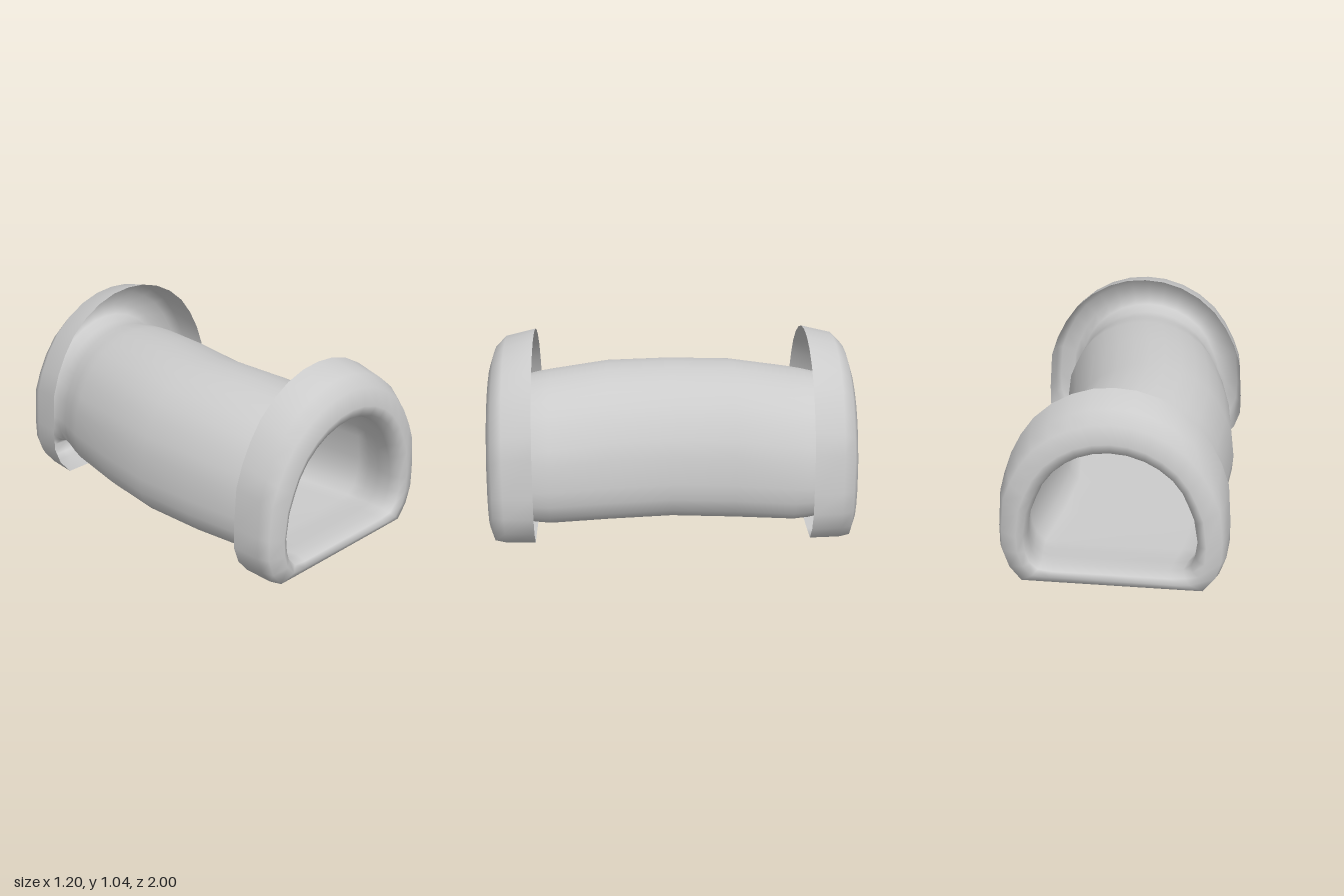
import * as THREE from 'three';

// Half profiles of the arch, from bottom centre up to the crown
const OPENING = [[0, 0.085], [0.3, 0.085], [0.37, 0.095], [0.41, 0.13], [0.43, 0.19], [0.44, 0.27], [0.42, 0.4],
  [0.39, 0.48], [0.355, 0.56], [0.3, 0.635], [0.235, 0.69], [0.165, 0.73], [0.08, 0.757], [0, 0.765]];
const FLANGE = [[0, 0], [0.38, 0], [0.5, 0], [0.565, 0.08], [0.6, 0.18], [0.6, 0.3], [0.585, 0.52],
  [0.545, 0.64], [0.49, 0.75], [0.42, 0.85], [0.325, 0.935], [0.22, 0.995], [0.11, 1.03], [0, 1.04]];

// Stations from the free flange edge, round the lip and into the tube:
// z, sideways shift, then blend from opening (0) to flange (1) for width, top and bottom
const HALF = [
  [0.75, 0, 1, 1, 1],
  [0.91, 0, 0.94, 0.86, 1],
  [0.97, 0, 0.8, 0.64, 0.95],
  [1.0, 0, 0.31, 0.31, 0.41],
  [0.98, 0, 0.1, 0.1, 0.12],
  [0.92, 0, 0, 0, 0],
  [0.83, -0.003, 0.1, 0.03, 0.1],
  [0.75, -0.01, 0.22, 0.09, 0.23],
  [0.67, -0.017, 0.31, 0.13, 0.3],
  [0.35, -0.067, 0.31, 0.25, 0.35],
];
const MIDDLE = [0, -0.098, 0.3, 0.25, 0.35];

// Closed cross-section at one station
function section([z, shift, kx, kTop, kBottom]) {
  const { lerp, smoothstep } = THREE.MathUtils;
  const half = OPENING.map(([x, y], i) => {
    const [fx, fy] = FLANGE[i];
    const ky = lerp(kBottom, kTop, smoothstep(y, 0.085, 0.5));
    return [lerp(x, fx, kx), lerp(y, fy, ky)];
  });
  const mirrored = half.slice(1, -1).reverse().map(([x, y]) => [-x, y]);
  return [...half, ...mirrored].map(([x, y]) => [x + shift, y, z]);
}

// Skin a row of closed cross-sections with smooth normals
function loft(sections) {
  const n = sections[0].length;
  const index = [];
  for (let s = 0; s < sections.length - 1; s++) {
    for (let i = 0; i < n; i++) {
      const a = s * n + i, b = s * n + (i + 1) % n;
      index.push(a, b, a + n, b, b + n, a + n);
    }
  }
  const geometry = new THREE.BufferGeometry();
  geometry.setAttribute('position', new THREE.Float32BufferAttribute(sections.flat(2), 3));
  geometry.setIndex(index);
  geometry.computeVertexNormals();
  return geometry;
}

export function createModel() {
  const group = new THREE.Group();
  group.name = 'bentArchTunnel';

  // One open sheet: rolled flange, bent tube, rolled flange
  const back = HALF.map(([z, ...rest]) => [-z, ...rest]).reverse();
  const stations = [...HALF, MIDDLE, ...back];
  const material = new THREE.MeshStandardMaterial({ color: 0xcccccc, side: THREE.DoubleSide });
  const tunnel = new THREE.Mesh(loft(stations.map(section)), material);
  tunnel.name = 'flangedTube';
  group.add(tunnel);

  return group;
}
